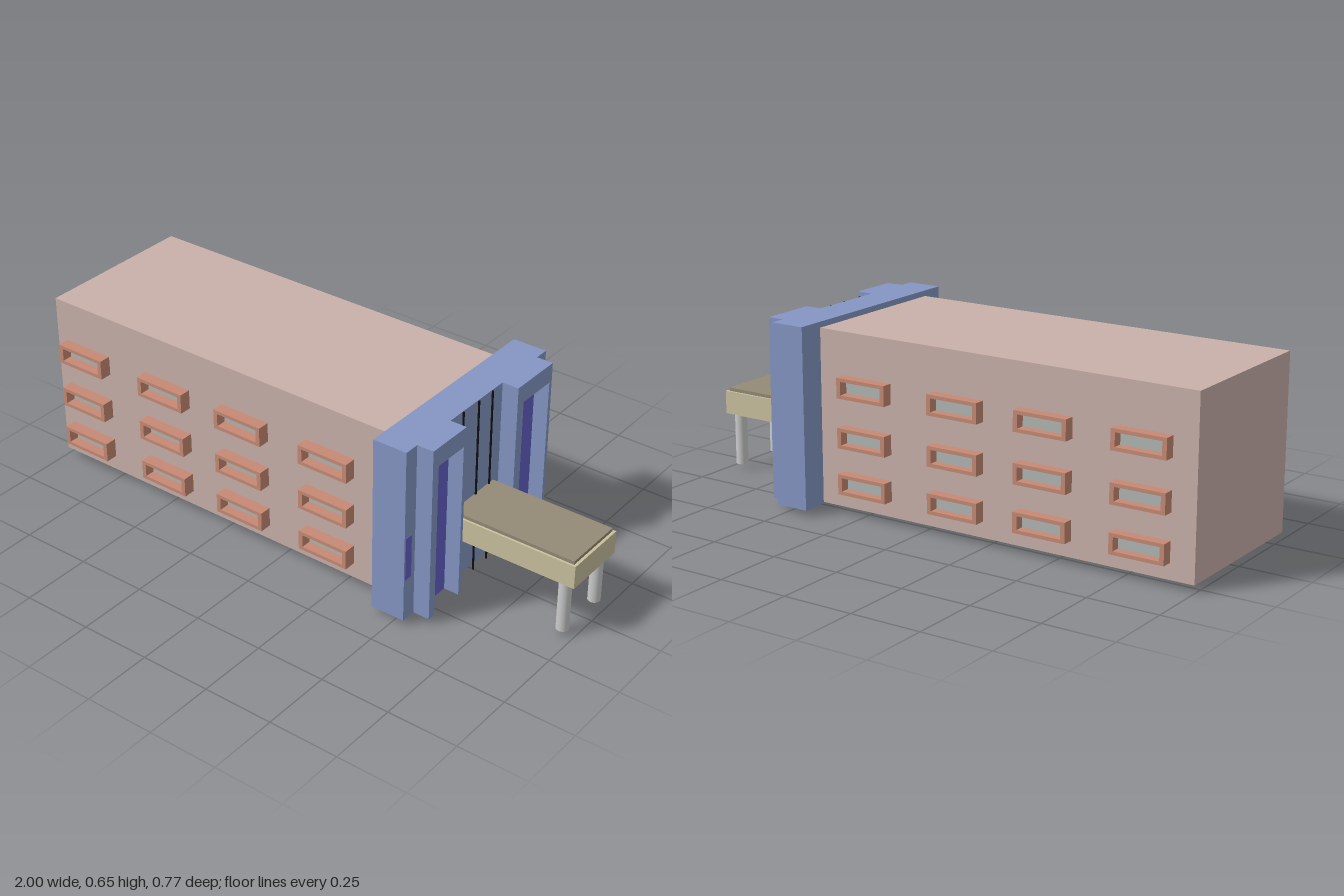
import * as THREE from 'three';

const mat = (color) => new THREE.MeshStandardMaterial({ color });
const brick = mat(0xc9b0aa), blue = mat(0x8496c4), violet = mat(0x6260c8), trim = mat(0xc68a74),
  glass = mat(0xb0b6b3), cream = mat(0xc9c09e), roofing = mat(0x948a76), grey = mat(0xcccccc), black = mat(0x111111);

// Box given by its extents on each axis
function box(parent, name, material, [x0, x1], [y0, y1], [z0, z1]) {
  const mesh = new THREE.Mesh(new THREE.BoxGeometry(x1 - x0, y1 - y0, z1 - z0), material);
  mesh.position.set((x0 + x1) / 2, (y0 + y1) / 2, (z0 + z1) / 2);
  mesh.name = name;
  parent.add(mesh);
  return mesh;
}

// Round bar between two points
function bar(parent, name, material, a, b, radius, sides) {
  const dir = b.clone().sub(a);
  const mesh = new THREE.Mesh(new THREE.CylinderGeometry(radius, radius, dir.length(), sides), material);
  mesh.position.copy(a).add(b).multiplyScalar(0.5);
  mesh.quaternion.setFromUnitVectors(new THREE.Vector3(0, 1, 0), dir.normalize());
  mesh.name = name;
  parent.add(mesh);
}

const rectPoints = (w, h) => [[-w, -h], [w, -h], [w, h], [-w, h]].map(([x, y]) => new THREE.Vector2(x / 2, y / 2));

// Projecting window surround with a recessed pane
function windowUnit(depth) {
  const group = new THREE.Group();
  group.name = 'window';
  const shape = new THREE.Shape(rectPoints(0.193, 0.07));
  shape.holes.push(new THREE.Path(rectPoints(0.162, 0.046)));
  const frame = new THREE.Mesh(new THREE.ExtrudeGeometry(shape, { depth, bevelEnabled: false }), trim);
  frame.name = 'windowFrame';
  group.add(frame);
  box(group, 'windowPane', glass, [-0.083, 0.083], [-0.024, 0.024], [0, 0.006]);
  return group;
}

export function createModel() {
  const model = new THREE.Group();
  model.name = 'hall';

  // Main block
  box(model, 'mainBlock', brick, [-1, 0.42], [0.026, 0.63], [-0.29, 0.302]);

  // Windows on both long walls
  const walls = [
    { name: 'frontWindows', xs: [-0.86, -0.5, -0.165, 0.185], z: 0.302, depth: 0.043, turn: 0 },
    { name: 'backWindows', xs: [-0.818, -0.468, -0.138, 0.225], z: -0.29, depth: 0.039, turn: Math.PI },
  ];
  for (const { name, xs, z, depth, turn } of walls) {
    const group = new THREE.Group();
    group.name = name;
    for (const x of xs) for (const y of [0.116, 0.276, 0.447]) {
      const unit = windowUnit(depth);
      unit.position.set(x, y, z);
      unit.rotation.y = turn;
      group.add(unit);
    }
    model.add(group);
  }

  // Entrance slab with a small side panel
  box(model, 'entranceSlab', blue, [0.416, 0.54], [0.02, 0.65], [-0.385, 0.385]);
  box(model, 'sidePanel', violet, [0.535, 0.542], [0.175, 0.333], [0.35, 0.381]);

  // Door bays: two jambs, a lintel and a recessed panel each
  for (const [name, a, b, c, d] of [['leftBay', 0.155, 0.167, 0.3, 0.33], ['rightBay', -0.332, -0.318, -0.167, -0.132]]) {
    const bay = new THREE.Group();
    bay.name = name;
    box(bay, 'jamb', blue, [0.54, 0.6], [0.02, 0.65], [a, b]);
    box(bay, 'jamb', blue, [0.54, 0.6], [0.02, 0.65], [c, d]);
    box(bay, 'lintel', blue, [0.54, 0.6], [0.583, 0.65], [b, c]);
    box(bay, 'doorPanel', violet, [0.535, 0.545], [0.02, 0.583], [b, c]);
    model.add(bay);
  }

  // Thin dark rods on the entrance wall
  for (const [top, bottom] of [[0.09, 0.083], [0.005, 0], [-0.071, -0.077]])
    bar(model, 'rod', black, new THREE.Vector3(0.544, 0.65, top), new THREE.Vector3(0.544, 0, bottom), 0.0035, 8);

  // Canopy with roof cap and posts
  box(model, 'canopy', cream, [0.54, 1], [0.203, 0.286], [-0.11, 0.131]);
  box(model, 'canopyRoof', roofing, [0.54, 0.99], [0.286, 0.298], [-0.102, 0.123]);
  for (const z of [0.107, -0.082])
    bar(model, 'post', grey, new THREE.Vector3(0.956, 0.018, z), new THREE.Vector3(0.956, 0.204, z), 0.0215, 32);

  return model;
}
